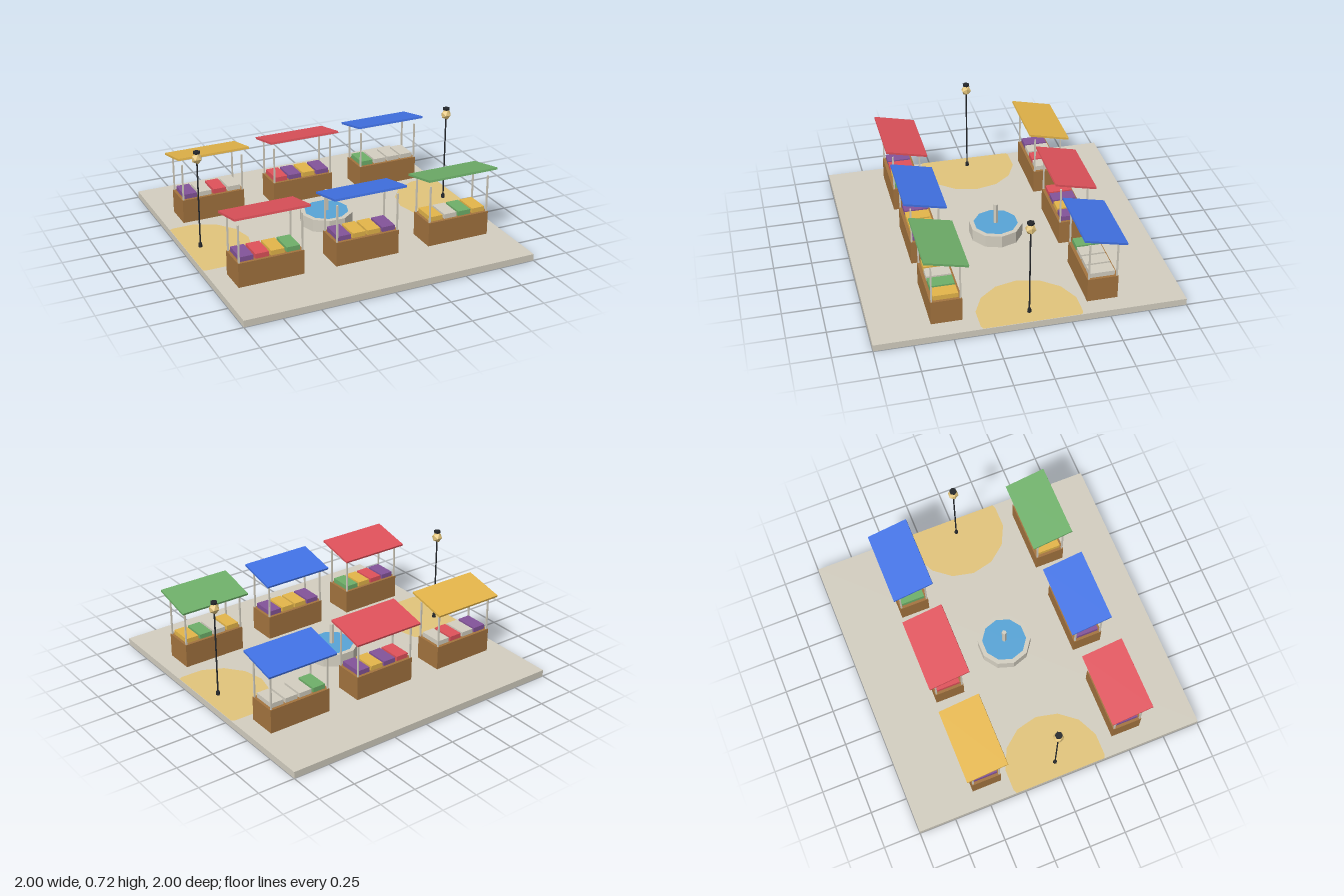
import * as THREE from 'three';

const mat = (name, color, side = THREE.FrontSide) => {
  const m = new THREE.MeshStandardMaterial({ color, side, flatShading: true });
  m.name = name;
  return m;
};

export function createModel() {
  const M = {
    stone: mat('stone', 0xd4cfc1, THREE.DoubleSide),
    glow: mat('lamp glow', 0xe3c57c),
    water: mat('water', 0x58a5d8),
    wood: mat('wood', 0xa4743f),
    red: mat('red', 0xe0525b),
    blue: mat('blue', 0x4273e6),
    green: mat('green', 0x6fb06a),
    yellow: mat('yellow', 0xe5b64a),
    purple: mat('purple', 0x84549a),
    iron: mat('dark iron', 0x24272b),
  };

  const add = (parent, name, geometry, material, x = 0, y = 0, z = 0) => {
    const mesh = new THREE.Mesh(geometry, material);
    mesh.name = name;
    mesh.position.set(x, y, z);
    parent.add(mesh);
    return mesh;
  };
  const group = (parent, name, x = 0, z = 0) => {
    const g = new THREE.Group();
    g.name = name;
    g.position.set(x, 0, z);
    parent.add(g);
    return g;
  };

  const model = new THREE.Group();
  model.name = 'marketSquare';

  // Paved square: a top sheet with four edge walls, open underneath
  add(model, 'pavementTop', new THREE.PlaneGeometry(2, 2).rotateX(-Math.PI / 2), M.stone, 0, 0.045, 0);
  const edgeGeo = new THREE.CylinderGeometry(Math.SQRT2, Math.SQRT2, 0.045, 4, 1, true).rotateY(Math.PI / 4);
  add(model, 'pavementEdge', edgeGeo, M.stone, 0, 0.0225, 0);

  // Market stalls: position, canopy colour, goods from -x to +x
  const stalls = [
    [-0.66, 0.52, 'red', ['purple', 'red', 'yellow', 'green']],
    [0, 0.52, 'blue', ['purple', 'yellow', 'yellow', 'purple']],
    [0.66, 0.52, 'green', ['yellow', 'stone', 'green', 'yellow']],
    [-0.66, -0.48, 'yellow', ['purple', 'stone', 'red', 'stone']],
    [0, -0.48, 'red', ['red', 'purple', 'yellow', 'purple']],
    [0.66, -0.48, 'blue', ['green', 'stone', 'stone', 'stone']],
  ];
  const counterGeo = new THREE.BoxGeometry(0.44, 0.164, 0.2);
  const goodsGeo = new THREE.BoxGeometry(0.09, 0.033, 0.16);
  const postGeo = new THREE.BoxGeometry(0.01, 0.419, 0.01);
  const canopyGeo = new THREE.BoxGeometry(0.5, 0.014, 0.284);
  for (const [x, z, canopyColour, goods] of stalls) {
    const stall = group(model, 'stall', x, z);
    add(stall, 'counter', counterGeo, M.wood, 0, 0.128, 0);
    goods.forEach((c, i) => add(stall, 'goods', goodsGeo, M[c], (i - 1.5) * 0.104, 0.2255, 0));
    for (const sx of [-1, 1])
      for (const sz of [-1, 1])
        add(stall, 'post', postGeo, M.stone, sx * 0.211, 0.2555, sz * 0.091);
    const canopy = add(stall, 'canopy', canopyGeo, M[canopyColour], 0, 0.495, 0);
    canopy.rotation.x = -0.22;
  }

  // Ten-sided fountain
  const fountain = group(model, 'fountain');
  fountain.rotation.y = Math.PI / 2;
  add(fountain, 'basin', new THREE.CylinderGeometry(0.18, 0.18, 0.086, 10), M.stone, 0, 0.089, 0);
  const waterGeo = new THREE.CircleGeometry(0.15, 10, Math.PI / 2).rotateX(-Math.PI / 2);
  add(fountain, 'waterSurface', waterGeo, M.water, 0, 0.134, 0);
  add(fountain, 'spout', new THREE.CylinderGeometry(0.016, 0.016, 0.146, 6), M.stone, 0, 0.204, 0);

  // Pool of lamplight: 14-sided disc cut off at the pavement edge
  const pool = [new THREE.Vector2(-0.1, -0.315)];
  for (let k = -4; k <= 4; k++) {
    const a = (k * Math.PI) / 7;
    pool.push(new THREE.Vector2(0.335 * Math.cos(a), 0.335 * Math.sin(a)));
  }
  pool.push(new THREE.Vector2(-0.1, 0.315));
  const poolGeo = new THREE.ShapeGeometry(new THREE.Shape(pool)).rotateX(-Math.PI / 2);

  // Street lamps on both sides
  for (const side of [-1, 1]) {
    const lamp = group(model, 'streetLamp', side * 0.9, 0);
    if (side > 0) lamp.rotation.y = Math.PI;
    add(lamp, 'lightPool', poolGeo, M.glow, 0, 0.048, 0);
    add(lamp, 'lampFoot', new THREE.CylinderGeometry(0.011, 0.014, 0.029, 6), M.iron, 0, 0.0605, 0);
    add(lamp, 'lampPole', new THREE.CylinderGeometry(0.005, 0.005, 0.6, 6), M.iron, 0, 0.35, 0);
    const head = group(lamp, 'lampHead');
    head.rotation.y = Math.PI / 2;
    add(head, 'lantern', new THREE.IcosahedronGeometry(0.036, 0), M.glow, 0, 0.668, 0);
    add(head, 'lampCap', new THREE.CylinderGeometry(0.024, 0.024, 0.014, 6), M.iron, 0, 0.71, 0);
  }

  return model;
}
